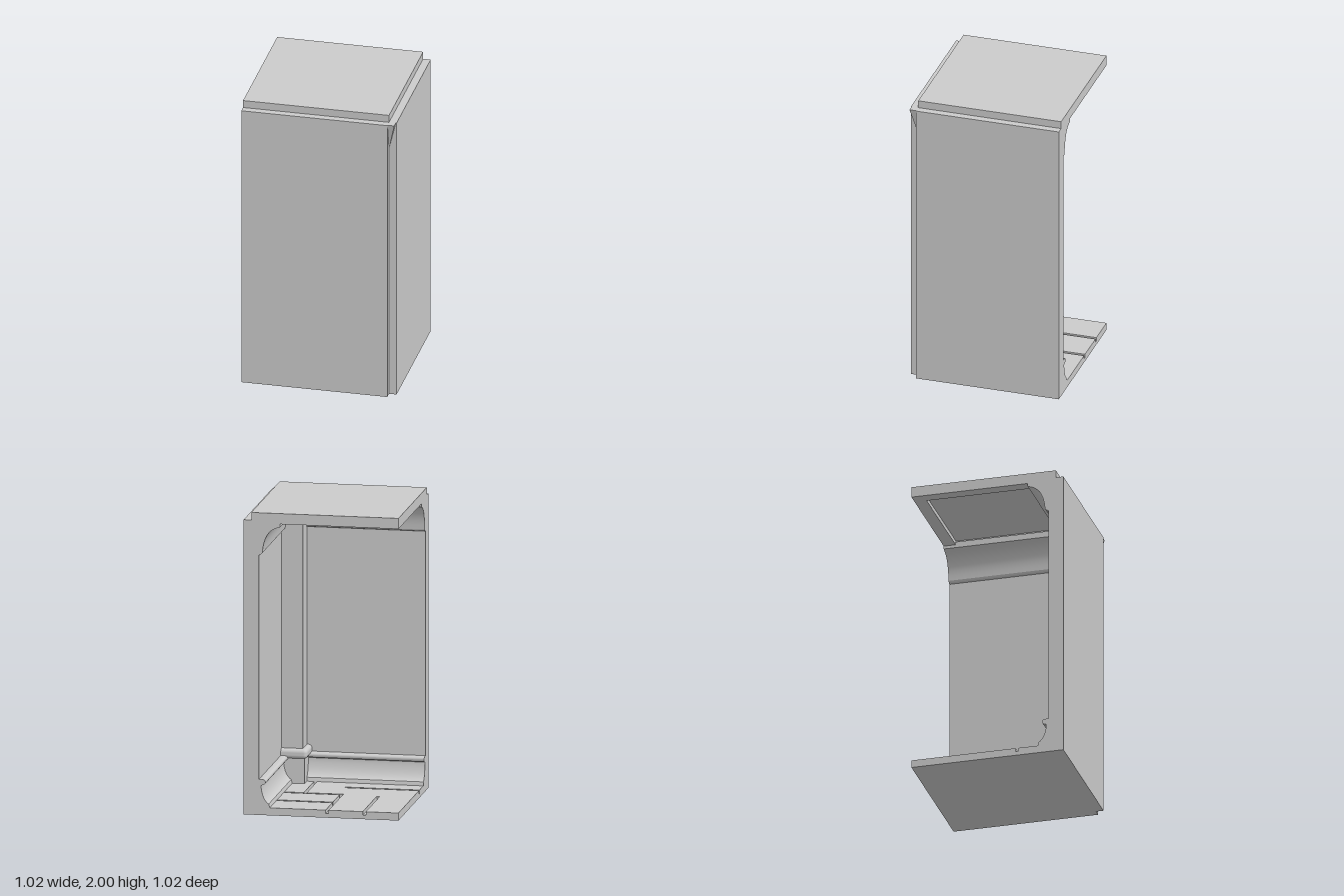
import * as THREE from 'three';
import { toCreasedNormals } from 'three/addons/utils/BufferGeometryUtils.js';
import { RoundedBoxGeometry } from 'three/addons/geometries/RoundedBoxGeometry.js';
import { ConvexGeometry } from 'three/addons/geometries/ConvexGeometry.js';

const EDGE = -0.51;   // open sides of the room
const CORNER = 0.46;  // outer notch corner
const OUT = 0.51;     // outer wall face
const IN = 0.41;      // inner wall face

export function createModel() {
  const group = new THREE.Group();
  const material = new THREE.MeshStandardMaterial({ color: 0xcccccc });

  const add = (name, geometry) => {
    const mesh = new THREE.Mesh(geometry, material);
    mesh.name = name;
    group.add(mesh);
    return mesh;
  };

  // Box given by its lower and upper corners
  const box = (name, [x0, y0, z0], [x1, y1, z1], radius = 0) => {
    const size = [x1 - x0, y1 - y0, z1 - z0];
    const geometry = radius ? new RoundedBoxGeometry(...size, 3, radius) : new THREE.BoxGeometry(...size);
    add(name, geometry).position.set((x0 + x1) / 2, (y0 + y1) / 2, (z0 + z1) / 2);
  };

  // Flat plate from an (x, z) outline
  const toShape = (points) => new THREE.Shape(points.map(([x, z]) => new THREE.Vector2(x, z)));
  const rect = (x0, z0, x1, z1) => [[x0, z0], [x1, z0], [x1, z1], [x0, z1]];
  const plate = (name, shape, bottom, top) => {
    const geometry = new THREE.ExtrudeGeometry(shape, { depth: top - bottom, bevelEnabled: false });
    add(name, geometry.rotateX(Math.PI / 2).translate(0, top, 0));
  };

  // Wall section with skirting at the foot and a cove at the ceiling
  const section = new THREE.Shape();
  section.moveTo(OUT, 0);
  section.lineTo(OUT, 1.95);
  section.lineTo(0.27, 1.95);
  section.lineTo(0.27, 1.91);
  section.lineTo(0.3, 1.9);
  section.bezierCurveTo(0.35, 1.88, 0.38, 1.83, 0.387, 1.735);
  section.lineTo(0.395, 1.725);
  section.lineTo(IN, 1.72);
  section.lineTo(IN, 0.235);
  section.lineTo(0.385, 0.235);
  section.bezierCurveTo(0.36, 0.235, 0.36, 0.2, 0.385, 0.2);
  section.lineTo(0.395, 0.195);
  section.lineTo(0.395, 0.18);
  section.quadraticCurveTo(0.385, 0.1, 0.345, 0.075);
  section.lineTo(0.338, 0.05);
  section.lineTo(0.338, 0);
  section.closePath();

  const wall = () => new THREE.ExtrudeGeometry(section, {
    depth: CORNER - EDGE, bevelEnabled: false, curveSegments: 8,
  });
  add('sideWall', toCreasedNormals(wall().translate(0, 0, EDGE), 0.5));
  add('frontWall', toCreasedNormals(wall().translate(0, 0, -CORNER).rotateY(-Math.PI / 2), 0.5));

  // Floor: base slab with separate paving pieces, the gaps forming grooves
  box('floorBase', [EDGE, 0, EDGE], [CORNER, 0.027, CORNER]);
  const paving = [
    rect(-0.03, EDGE, 0.4, -0.28),
    rect(-0.03, -0.26, 0.4, -0.03),
    rect(0.21, -0.01, 0.4, 0.4),
    // large piece with two open slots
    [[EDGE, EDGE], [-0.295, EDGE], [-0.295, -0.03], [-0.275, -0.03], [-0.275, EDGE], [-0.05, EDGE],
      [-0.05, -0.01], [0.19, -0.01], [0.19, 0.4], [EDGE, 0.4], [EDGE, 0.21], [-0.02, 0.21],
      [-0.02, 0.19], [EDGE, 0.19]],
  ];
  paving.forEach((points, i) => plate(`paving${i + 1}`, toShape(points), 0.027, 0.05));

  // Ceiling: slab with a lowered rim
  box('ceilingSlab', [EDGE, 1.96, EDGE], [CORNER, 2, CORNER]);
  const rim = toShape(rect(EDGE, EDGE, CORNER, CORNER));
  rim.holes.push(toShape(rect(-0.43, -0.43, 0.28, 0.28)));
  plate('ceilingRim', rim, 1.93, 1.96);

  // Corner column with plinth and rounded collar
  box('columnShaft', [0.27, 0.03, 0.27], [0.45, 1.95, 0.45]);
  box('columnPlinth', [0.258, 0.03, 0.258], [0.45, 0.24, 0.45]);
  box('columnCollar', [0.237, 0.215, 0.237], [0.45, 0.28, 0.45], 0.025);

  // Tapered bracket in the outer corner notch
  const tip = 0.505;
  add('cornerBracket', new ConvexGeometry([
    [CORNER, 1.95, CORNER], [tip, 1.95, CORNER], [tip, 1.95, tip], [CORNER, 1.95, tip], [CORNER, 1.76, CORNER],
  ].map((p) => new THREE.Vector3(...p))));

  return group;
}
